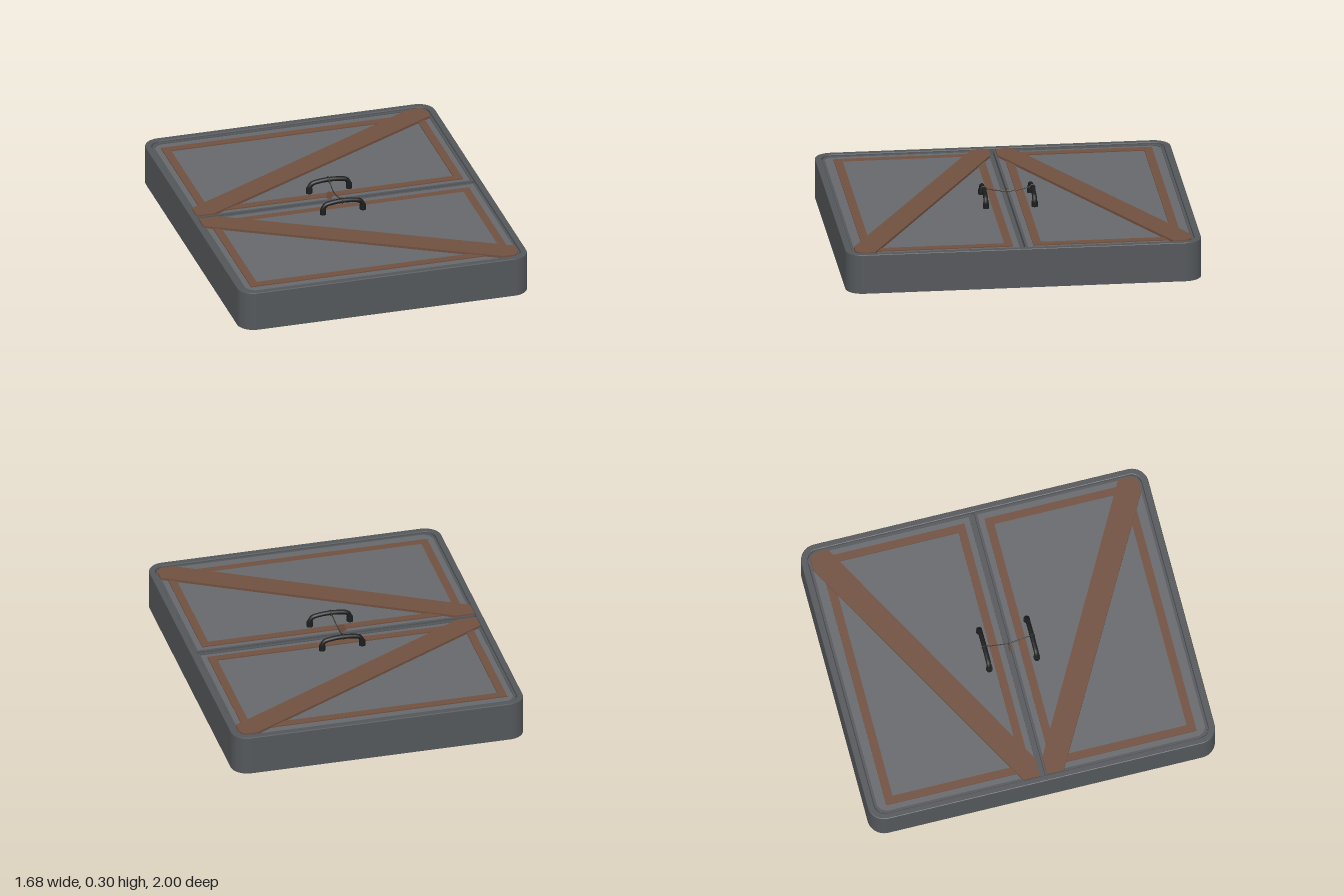
import * as THREE from 'three';

const mat = (color) => new THREE.MeshStandardMaterial({ color });
const steel = mat(0x54575a), panelGrey = mat(0x66686c), wood = mat(0x70503f), black = mat(0x1c1d1e), cord = mat(0x3a322c);

// Rounded rectangle centred on the origin
function roundedRect(w, h, r, Type = THREE.Shape) {
  const s = new Type(), x = w / 2, y = h / 2;
  s.moveTo(-x + r, -y);
  s.lineTo(x - r, -y).absarc(x - r, -y + r, r, -Math.PI / 2, 0);
  s.lineTo(x, y - r).absarc(x - r, y - r, r, 0, Math.PI / 2);
  s.lineTo(-x + r, y).absarc(-x + r, y - r, r, Math.PI / 2, Math.PI);
  s.lineTo(-x, -y + r).absarc(-x + r, -y + r, r, Math.PI, Math.PI * 1.5);
  return s;
}

// Flat slab lying on the ground plane, from y0 to y1 (shape y becomes -z)
function slab(name, shape, y0, y1, material, bevel = 0) {
  const g = new THREE.ExtrudeGeometry(shape, {
    depth: y1 - y0 - 2 * bevel, bevelEnabled: bevel > 0, bevelSize: bevel,
    bevelThickness: bevel, bevelOffset: -bevel, bevelSegments: 2, curveSegments: 6,
  });
  g.rotateX(-Math.PI / 2).translate(0, y0 + bevel, 0);
  const m = new THREE.Mesh(g, material);
  m.name = name;
  return m;
}

function tube(name, points, radius, material, segments = 32) {
  const curve = new THREE.CatmullRomCurve3(points.map((p) => new THREE.Vector3(...p)));
  const m = new THREE.Mesh(new THREE.TubeGeometry(curve, segments, radius, 10), material);
  m.name = name;
  return m;
}

// One hatch door; side is +1 for the front door and -1 for the back one
function door(side) {
  const g = new THREE.Group();
  g.name = side > 0 ? 'frontDoor' : 'backDoor';
  const shape = (pts) => new THREE.Shape(pts.map(([x, z]) => new THREE.Vector2(x, -z * side)));

  // Panel with cut outer corners and a slightly raised edge
  const outline = (d) => [[-0.805 + d, 0.01 + d], [0.805 - d, 0.01 + d], [0.805 - d, 0.9], [0.79 - d, 0.942 - d],
    [0.75, 0.96 - d], [-0.75, 0.96 - d], [-0.79 + d, 0.942 - d], [-0.805 + d, 0.9]];
  g.add(slab('doorPanel', shape(outline(0.004)), 0.17, 0.215, panelGrey));
  const edge = shape(outline(0));
  edge.holes.push(shape(outline(0.014)));
  g.add(slab('doorEdge', edge, 0.17, 0.22, steel));

  // Wooden border
  const rect = (x, z0, z1) => shape([[-x, z0], [x, z0], [x, z1], [-x, z1]]);
  const border = rect(0.757, 0.058, 0.895);
  border.holes.push(rect(0.712, 0.103, 0.848));
  g.add(slab('woodBorder', border, 0.205, 0.221, wood));

  // Diagonal brace trimmed to the door outline
  g.add(slab('diagonalBrace', shape([[-0.805, 0.02], [-0.7, 0.02], [0.795, 0.838], [0.795, 0.9], [0.785, 0.928],
    [0.765, 0.945], [0.695, 0.945], [-0.805, 0.115]]), 0.205, 0.229, wood));

  // Arched handle with two feet
  const z = 0.137 * side;
  g.add(tube('handle', [[-0.116, 0.21, z], [-0.116, 0.245, z], [-0.1, 0.27, z], [-0.06, 0.28, z], [0, 0.284, z],
    [0.06, 0.28, z], [0.1, 0.27, z], [0.116, 0.245, z], [0.116, 0.21, z]], 0.0135, black, 40));
  for (const x of [-0.116, 0.116]) {
    const foot = new THREE.Mesh(new THREE.CylinderGeometry(0.018, 0.018, 0.035, 14), black);
    foot.position.set(x, 0.2275, z);
    foot.name = 'handleFoot';
    g.add(foot);
  }

  // Cord loop around the grip
  const loop = new THREE.Mesh(new THREE.TorusGeometry(0.0155, 0.003, 6, 16), cord);
  loop.rotation.y = Math.PI / 2;
  loop.position.set(-0.005, 0.284, z);
  loop.name = 'cordLoop';
  g.add(loop);
  return g;
}

export function createModel() {
  const model = new THREE.Group();
  model.name = 'hatch';

  // Solid base and raised rim
  model.add(slab('base', roundedRect(1.684, 2, 0.095), 0, 0.19, steel));
  const rim = roundedRect(1.684, 2, 0.095);
  rim.holes.push(roundedRect(1.616, 1.926, 0.06, THREE.Path));
  model.add(slab('rim', rim, 0.18, 0.23, steel, 0.004));

  model.add(door(1), door(-1));

  // Sagging cord tied between the handles
  model.add(tube('cord', [[-0.005, 0.288, -0.125], [-0.008, 0.272, -0.06], [-0.01, 0.265, 0],
    [-0.008, 0.272, 0.06], [-0.005, 0.288, 0.125]], 0.003, cord));

  // Wooden tag hanging from the cord
  const tag = new THREE.Mesh(new THREE.BoxGeometry(0.036, 0.04, 0.006), wood);
  tag.position.set(-0.037, 0.255, 0);
  tag.rotation.z = -0.4;
  tag.name = 'tag';
  model.add(tag);
  model.add(tube('tagString', [[-0.03, 0.272, 0], [-0.018, 0.276, 0], [-0.01, 0.266, 0]], 0.002, cord, 8));
  return model;
}
